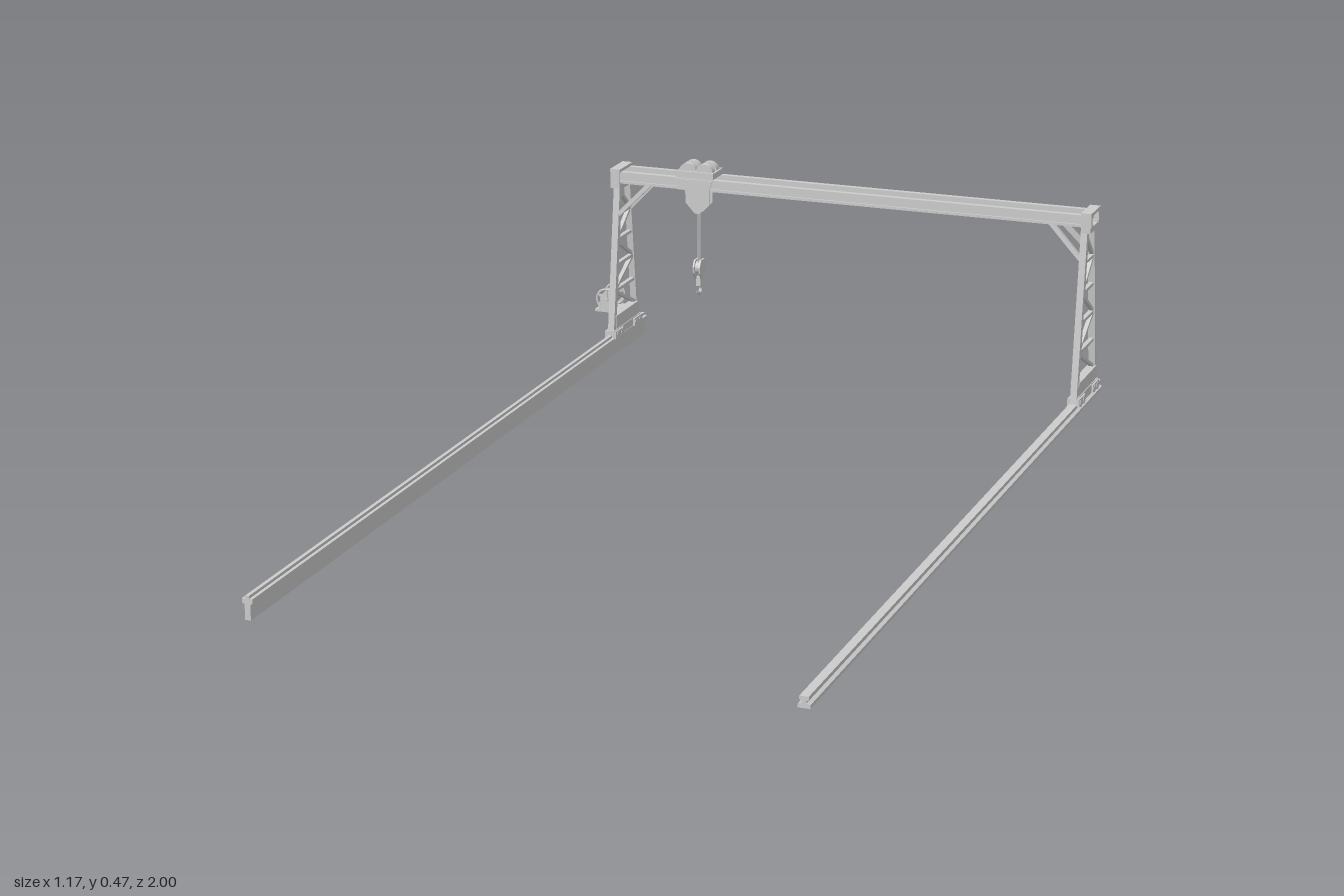
import * as THREE from 'three';

const mat = new THREE.MeshStandardMaterial({ color: 0xcccccc });
const ZC = -0.88; // centre line of the gantry
const X = new THREE.Vector3(1, 0, 0), Z = new THREE.Vector3(0, 0, 1);
const v = (x, y, z) => new THREE.Vector3(x, y, z);

function add(parent, name, geo, x = 0, y = 0, z = 0) {
  const m = new THREE.Mesh(geo, mat);
  m.name = name;
  m.position.set(x, y, z);
  parent.add(m);
  return m;
}
const box = (p, name, w, h, d, x, y, z) => add(p, name, new THREE.BoxGeometry(w, h, d), x, y, z);

// Square bar between two points; h is its size along the up vector
function bar(p, name, a, b, w, h, up) {
  const m = box(p, name, w, h, a.distanceTo(b), 0, 0, 0);
  m.position.copy(a).add(b).multiplyScalar(0.5);
  m.up.copy(up);
  m.lookAt(b);
  return m;
}
function rope(p, name, ...pts) {
  for (let i = 1; i < pts.length; i++) {
    const d = pts[i].clone().sub(pts[i - 1]);
    const m = add(p, name, new THREE.CylinderGeometry(0.0015, 0.0015, d.length(), 6));
    m.position.copy(pts[i]).add(pts[i - 1]).multiplyScalar(0.5);
    m.quaternion.setFromUnitVectors(v(0, 1, 0), d.normalize());
  }
}
// Cylinder lying along x or z
function disc(p, name, r, len, axis, x, y, z, n = 20) {
  const g = new THREE.CylinderGeometry(r, r, len, n);
  axis === 'x' ? g.rotateZ(Math.PI / 2) : g.rotateX(Math.PI / 2);
  return add(p, name, g, x, y, z);
}
// Outline extruded along z, centred on it
function plate(p, name, pts, depth, x, y, z) {
  const s = new THREE.Shape(pts.map(q => new THREE.Vector2(...q)));
  const g = new THREE.ExtrudeGeometry(s, { depth, bevelEnabled: false });
  g.translate(0, 0, -depth / 2);
  return add(p, name, g, x, y, z);
}
// I-section outline standing on y = 0
function iSection(w, h, flange, web) {
  const right = [[w, 0], [w, flange], [web, flange], [web, h - flange], [w, h - flange], [w, h]];
  return [...right, ...right.slice().reverse().map(([x, y]) => [-x, y])];
}

// Half spread of the tower legs at height y
const spread = y => THREE.MathUtils.mapLinear(y, 0.02, 0.41, 0.079, 0.03);

function tower(x, base, inward) {
  const g = new THREE.Group();
  // Bogie and its wheels
  box(g, 'bogieBeam', 0.02, 0.018, 0.165, x, base + 0.006, ZC);
  for (const s of [-1, 1]) {
    box(g, 'bogieHousing', 0.028, 0.018, 0.05, x, base + 0.004, ZC + s * 0.058);
    for (const o of [0.045, 0.07]) disc(g, 'bogieWheel', 0.009, 0.03, 'x', x, base + 0.002, ZC + s * o, 14);
  }
  box(g, 'baseBeam', 0.016, 0.03, 2 * spread(base + 0.03) - 0.008, x, base + 0.028, ZC);
  box(g, 'baseLedge', 0.02, 0.005, 2 * spread(base + 0.045), x, base + 0.045, ZC);

  // Inclined legs with lattice bays
  for (const s of [-1, 1]) {
    bar(g, 'leg', v(x, base, ZC + s * spread(base)), v(x, 0.415, ZC + s * spread(0.415)), 0.014, 0.015, X);
  }
  const bays = 5, y0 = base + 0.045;
  for (let i = 0; i < bays; i++) {
    const a = y0 + (0.4 - y0) * i / bays, b = y0 + (0.4 - y0) * (i + 1) / bays;
    const s = i % 2 ? 1 : -1;
    bar(g, 'lattice', v(x, a, ZC + s * spread(a)), v(x, b, ZC - s * spread(b)), 0.007, 0.009, X);
    box(g, 'crossTie', 0.01, 0.007, 2 * spread(b), x, b, ZC);
  }

  // Cap over the girders, and knee braces
  const cx = x - inward * 0.004;
  box(g, 'headBeam', 0.022, 0.012, 0.08, cx, 0.408, ZC);
  box(g, 'headCap', 0.024, 0.007, 0.078, cx, 0.443, ZC);
  for (const s of [-1, 1]) {
    box(g, 'capCheek', 0.022, 0.034, 0.005, cx, 0.426, ZC + s * 0.0365);
    bar(g, 'kneeBrace', v(x + inward * 0.005, 0.342, ZC + s * spread(0.342)),
      v(x + inward * 0.077, 0.416, ZC + s * 0.029), 0.01, 0.01, Z);
  }
  return g;
}

function winch() {
  const g = new THREE.Group();
  g.name = 'winch';
  const x = -0.563, y = 0.131;
  box(g, 'winchBase', 0.054, 0.005, 0.066, x, 0.105, ZC);
  disc(g, 'drum', 0.017, 0.05, 'z', x, y, ZC);
  disc(g, 'axle', 0.005, 0.07, 'z', x, y, ZC, 10);
  for (const s of [-1, 1]) {
    // Spoked flange
    const z = ZC + s * 0.026;
    add(g, 'drumRim', new THREE.TorusGeometry(0.024, 0.003, 6, 24), x, y, z);
    for (let i = 0; i < 3; i++) box(g, 'spoke', 0.005, 0.048, 0.004, x, y, z).rotation.z = i * Math.PI / 3;
    plate(g, 'drumStand', [[-0.02, 0], [0.02, 0], [0.005, 0.028], [-0.005, 0.028]], 0.003, x, 0.107, ZC + s * 0.031);
  }
  rope(g, 'winchRope', v(x, y + 0.02, ZC), v(-0.538, 0.41, ZC), v(-0.525, 0.432, ZC + 0.003), v(0.26, 0.432, ZC + 0.003));
  return g;
}

function trolley() {
  const g = new THREE.Group();
  g.name = 'trolley';
  const x = -0.344;
  // Carriage riding on the girders
  for (const s of [-1, 1]) {
    box(g, 'carriageSide', 0.09, 0.016, 0.006, x, 0.447, ZC + s * 0.028);
    box(g, 'carriageEnd', 0.006, 0.014, 0.056, x + s * 0.042, 0.447, ZC);
    plate(g, 'sidePlate', [[-0.045, 0.438], [-0.037, 0.413], [0.037, 0.413], [0.045, 0.438]], 0.003, x, 0, ZC + s * 0.035);
    plate(g, 'hangerPlate', [[-0.029, 0.44], [-0.029, 0.378], [-0.006, 0.353], [0.006, 0.353], [0.029, 0.378], [0.029, 0.44]],
      0.004, x, 0, ZC + s * 0.011);
    for (const t of [-1, 1]) {
      disc(g, 'sheave', 0.021, 0.018, 'z', x + s * 0.02, 0.451, ZC + t * 0.013);
    }
    disc(g, 'sheaveAxle', 0.004, 0.06, 'z', x + s * 0.02, 0.451, ZC, 8);
  }
  box(g, 'carriageMiddle', 0.006, 0.012, 0.056, x, 0.446, ZC);
  disc(g, 'lowerSheave', 0.022, 0.012, 'z', x, 0.383, ZC);

  // Hoist ropes, block and hook
  for (const s of [-1, 1]) rope(g, 'hoistRope', v(x, 0.38, ZC + s * 0.006), v(x, 0.235, ZC + s * 0.006));
  const block = new THREE.Group();
  block.name = 'hookBlock';
  block.position.set(x, 0, ZC);
  block.rotation.y = Math.PI / 2;
  for (const s of [-1, 1]) {
    plate(block, 'blockCheek', [[-0.011, 0.243], [-0.02, 0.228], [-0.017, 0.212], [-0.005, 0.197], [0.005, 0.197],
      [0.017, 0.212], [0.02, 0.228], [0.011, 0.243]], 0.004, 0, 0, s * 0.007);
  }
  disc(block, 'blockSheave', 0.015, 0.011, 'z', 0, 0.224, 0);
  box(block, 'hookShank', 0.01, 0.022, 0.011, 0, 0.191, 0);
  const hook = add(block, 'hook', new THREE.TorusGeometry(0.01, 0.0045, 8, 18, Math.PI * 1.45), 0, 0.172, 0);
  hook.rotation.z = -Math.PI * 0.95;
  g.add(block);
  return g;
}

export function createModel() {
  const root = new THREE.Group();
  root.name = 'gantryCrane';

  // Runway rails: raised T-beam on the right, flat rail on the left
  plate(root, 'raisedRail', [[-0.006, 0.015], [0.006, 0.015], [0.006, 0.046], [0.011, 0.049], [0.011, 0.058],
    [0.004, 0.058], [0.004, 0.064], [-0.004, 0.064], [-0.004, 0.058], [-0.011, 0.058], [-0.011, 0.049], [-0.006, 0.046]],
    2, -0.531, 0, 0);
  plate(root, 'lowRail', [[-0.012, 0], [0.012, 0], [0.012, 0.007], [0.005, 0.01], [0.005, 0.014], [0.009, 0.016],
    [0.009, 0.023], [-0.009, 0.023], [-0.009, 0.016], [-0.005, 0.014], [-0.005, 0.01], [-0.012, 0.007]], 2, 0.569, 0, 0);

  const right = tower(-0.531, 0.06, 1);
  right.name = 'rightTower';
  const left = tower(0.569, 0.022, -1);
  left.name = 'leftTower';
  root.add(right, left);

  // Twin bridge girders
  for (const s of [-1, 1]) {
    const girder = plate(root, 'girder', iSection(0.0065, 0.027, 0.006, 0.002), 1.132, 0.019, 0.413, ZC + s * 0.027);
    girder.rotation.y = Math.PI / 2;
  }

  root.add(trolley(), winch());
  return root;
}
